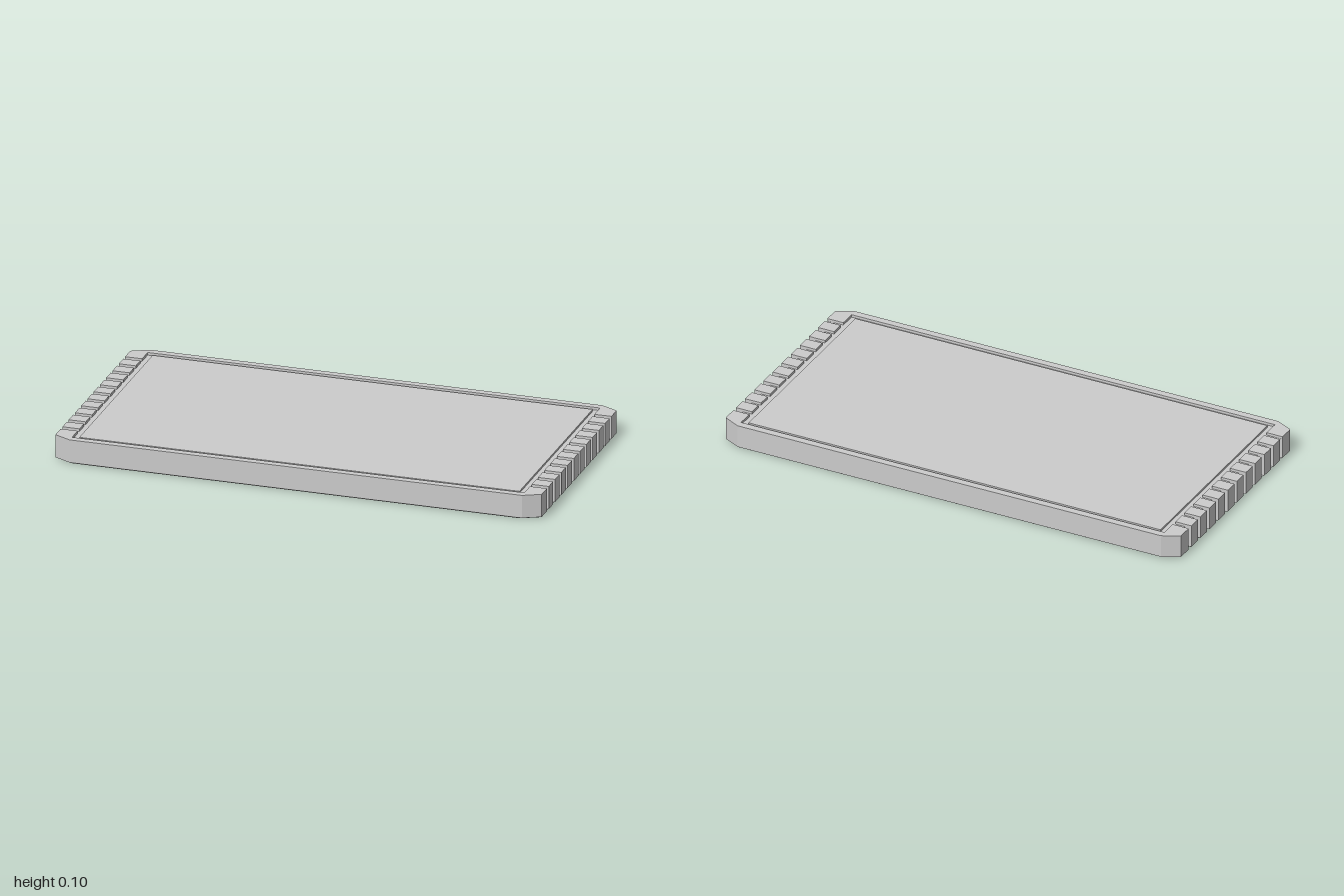
import * as THREE from 'three';

const PITCH = 0.0777, SLOT = 0.022, SLOTS = 11;
const slotZ = i => (i - (SLOTS - 1) / 2) * PITCH;

// Closed shape lying in the ground plane, extruded from y0 to y1
function slab(points, y0, y1) {
  const shape = new THREE.Shape(points.map(([x, z]) => new THREE.Vector2(x, -z)));
  const g = new THREE.ExtrudeGeometry(shape, { depth: y1 - y0, bevelEnabled: false });
  return g.rotateX(-Math.PI / 2).translate(0, y0, 0);
}

// Chamfered rectangle whose short sides are notched inwards to x = inner
function notchedOutline(inner) {
  const side = [[0.93, -0.5], [1, -0.465]];
  for (let i = 0; i < SLOTS; i++) {
    const a = slotZ(i) - SLOT / 2, b = slotZ(i) + SLOT / 2;
    side.push([1, a], [inner, a], [inner, b], [1, b]);
  }
  side.push([1, 0.465], [0.93, 0.5]);
  return [...side, ...side.map(([x, z]) => [-x, -z])];
}

export function createModel() {
  const group = new THREE.Group();
  const material = new THREE.MeshStandardMaterial({ color: 0xcccccc, flatShading: true });
  const add = (name, geometry, parent = group) => {
    const mesh = new THREE.Mesh(geometry, material);
    mesh.name = name;
    parent.add(mesh);
    return mesh;
  };

  // Base with a slim bevel around its underside
  const base = slab(notchedOutline(0.93), 0.005, 0.02);
  add('base', base);
  const foot = slab(notchedOutline(0.93), 0, 0.005);
  const p = foot.attributes.position;
  for (let i = 0; i < p.count; i++) {
    if (p.getY(i) < 0.002) p.setXYZ(i, p.getX(i) * 0.99, 0, p.getZ(i) * 0.985);
  }
  foot.computeVertexNormals();
  add('bevelledUnderside', foot);

  // Core: the grooves in the short sides are shallower here
  add('core', slab(notchedOutline(0.97), 0.02, 0.089));

  // Raised rim along the long edges, wrapping round the corners
  const half = [[0, 0.5], [0.93, 0.5], [1, 0.465], [1, 0.4], [0.93, 0.4], [0.93, 0.47]];
  const rimPoints = [...half, ...half.slice(1).reverse().map(([x, z]) => [-x, z])];
  add('frontRim', slab(rimPoints, 0.089, 0.1));
  add('backRim', slab(rimPoints, 0.089, 0.1)).rotation.y = Math.PI;

  // Rim teeth between the slots on both short sides
  for (const s of [1, -1]) {
    const teeth = new THREE.Group();
    teeth.name = s > 0 ? 'leftTeeth' : 'rightTeeth';
    for (let i = 0; i < SLOTS - 1; i++) {
      const tooth = add('tooth', new THREE.BoxGeometry(0.07, 0.011, PITCH - SLOT), teeth);
      tooth.position.set(s * 0.965, 0.0945, slotZ(i) + PITCH / 2);
    }
    group.add(teeth);
  }

  // Flat panel inside the rim, leaving a thin groove around it
  add('panel', new THREE.BoxGeometry(1.81, 0.012, 0.91).translate(0, 0.091, 0));

  return group;
}
